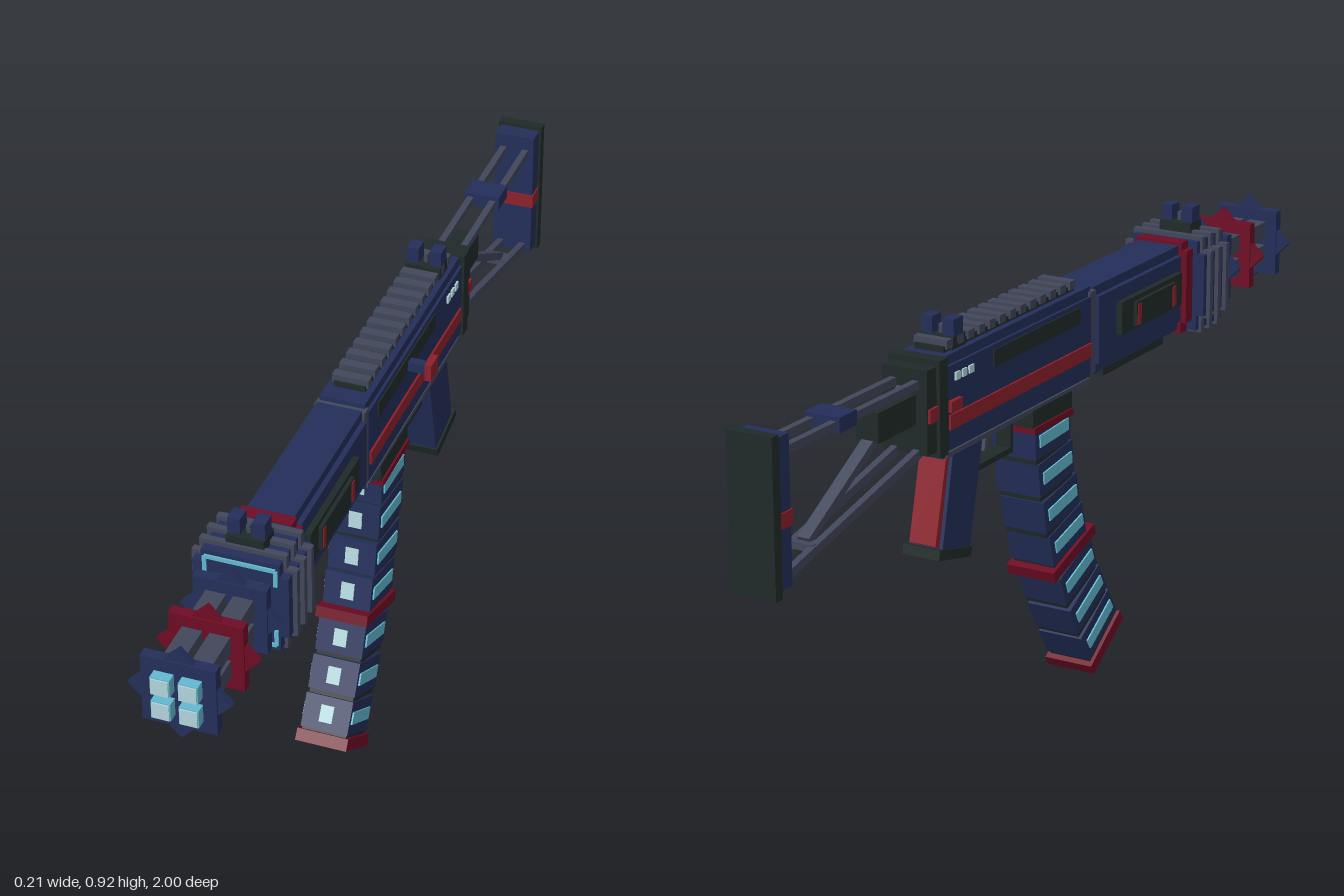
import * as THREE from 'three';

const mat = (name, color) => { const m = new THREE.MeshStandardMaterial({ color }); m.name = name; return m; };
const navy = mat('navy', 0x232e59), dark = mat('darkGreen', 0x1f2a28), grey = mat('steelGrey', 0x41465a);
const red = mat('red', 0x8c1f2a), crimson = mat('crimson', 0x6e0c24);
const cyan = mat('cyan', 0x62b8d0), pale = mat('paleGlow', 0xb0d4da);

export function createModel() {
  const root = new THREE.Group();
  root.name = 'blockyRifle';
  const group = (name, parent = root) => { const g = new THREE.Group(); g.name = name; parent.add(g); return g; };
  // box from centre x, y range and z range
  const box = (parent, name, m, w, y0, y1, z0, z1, x = 0) => {
    const b = new THREE.Mesh(new THREE.BoxGeometry(w, Math.abs(y1 - y0), Math.abs(z1 - z0)), m);
    b.position.set(x, (y0 + y1) / 2, (z0 + z1) / 2);
    b.name = name;
    parent.add(b);
    return b;
  };
  // same box on both sides
  const pair = (parent, name, m, x, w, y0, y1, z0, z1) => {
    for (const s of [1, -1]) box(parent, name, m, w, y0, y1, z0, z1, s * x);
  };
  // square bar between two points of the side plane
  const bar = (parent, name, m, x, w, t, [za, ya], [zb, yb]) => {
    const len = Math.hypot(zb - za, yb - ya);
    const b = box(parent, name, m, w, -t / 2, t / 2, -len / 2, len / 2, x);
    b.position.set(x, (ya + yb) / 2, (za + zb) / 2);
    b.rotation.x = -Math.atan2(yb - ya, zb - za);
    return b;
  };
  // plate lying in the side plane, corners given as [z, y]
  const sidePlate = (parent, name, m, w, pts) => {
    const s = new THREE.Shape(pts.map(([z, y]) => new THREE.Vector2(-z, y)));
    const g = new THREE.ExtrudeGeometry(s, { depth: w, bevelEnabled: false });
    g.translate(0, 0, -w / 2).rotateY(Math.PI / 2);
    const mesh = new THREE.Mesh(g, m);
    mesh.name = name;
    parent.add(mesh);
  };

  // four barrels with glowing tips and star-shaped discs
  const AX = 0.765;
  const barrel = group('barrelCluster');
  for (const sx of [1, -1]) for (const sy of [1, -1]) {
    const y = AX + sy * 0.027, x = sx * 0.027;
    box(barrel, 'barrel', grey, 0.04, y - 0.02, y + 0.02, 0.55, 0.97, x);
    box(barrel, 'barrelTip', cyan, 0.038, y - 0.019, y + 0.019, 0.96, 0.997, x);
    box(barrel, 'barrelGlow', pale, 0.034, y - 0.017, y + 0.017, 0.994, 1.0, x);
  }
  box(barrel, 'barrelCore', dark, 0.05, AX - 0.025, AX + 0.025, 0.55, 0.965);
  for (const [z, m] of [[0.965, navy], [0.835, crimson], [0.722, navy]]) {
    const disc = group('starDisc', barrel);
    disc.position.set(0, AX, z);
    box(disc, 'discSquare', m, 0.145, -0.0725, 0.0725, -0.011, 0.011);
    box(disc, 'discDiamond', m, 0.142, -0.071, 0.071, -0.007, 0.007).rotation.z = Math.PI / 4;
  }

  // ribbed front block with glowing corner lines
  const block = group('frontBlock');
  box(block, 'blockCore', navy, 0.155, 0.663, 0.86, 0.56, 0.68);
  box(block, 'blockSides', navy, 0.19, 0.697, 0.833, 0.56, 0.68);
  for (const z of [0.58, 0.617, 0.654]) {
    box(block, 'ribTall', grey, 0.168, 0.656, 0.869, z - 0.007, z + 0.007);
    box(block, 'ribWide', grey, 0.208, 0.69, 0.84, z - 0.007, z + 0.007);
  }
  for (const y of [0.675, 0.847]) {
    box(block, 'glowLine', cyan, 0.14, y - 0.004, y + 0.004, 0.68, 0.684);
    const inward = y < AX ? 0.035 : -0.035;
    pair(block, 'glowCorner', cyan, 0.07, 0.008, y, y + inward, 0.68, 0.684);
  }
  box(block, 'collarTall', crimson, 0.11, 0.66, 0.862, 0.532, 0.56);
  box(block, 'collarWide', crimson, 0.135, 0.685, 0.845, 0.532, 0.56);

  // front and rear sights
  const sight = (name, z) => {
    const g = group(name);
    box(g, 'sightBase', dark, 0.075, 0.86, 0.885, z - 0.025, z + 0.025);
    pair(g, 'sightPost', navy, 0.0245, 0.025, 0.875, 0.919, z - 0.017, z + 0.017);
    box(g, 'sightPin', grey, 0.008, 0.88, 0.903, z - 0.006, z + 0.006);
  };
  sight('frontSight', 0.63);
  sight('rearSight', -0.352);

  // handguard with side grips
  const guard = group('handguard');
  box(guard, 'guardCore', navy, 0.094, 0.668, 0.855, 0.16, 0.533);
  box(guard, 'guardSides', navy, 0.116, 0.69, 0.835, 0.165, 0.525);
  box(guard, 'guardBottom', dark, 0.075, 0.647, 0.67, 0.22, 0.485);
  pair(guard, 'sideGrip', dark, 0.061, 0.02, 0.735, 0.805, 0.24, 0.505);
  pair(guard, 'sideGripRaised', dark, 0.069, 0.02, 0.742, 0.795, 0.29, 0.465);
  for (const z of [0.3, 0.455]) pair(guard, 'gripMark', red, 0.071, 0.02, 0.745, 0.79, z - 0.007, z + 0.007);
  box(guard, 'joint', grey, 0.104, 0.675, 0.85, 0.138, 0.162);

  // receiver with stripe, lights and rail
  const receiver = group('receiver');
  box(receiver, 'receiverBody', navy, 0.094, 0.657, 0.86, -0.43, 0.145);
  box(receiver, 'receiverSides', navy, 0.106, 0.675, 0.84, -0.425, 0.14);
  pair(receiver, 'stripe', red, 0.0535, 0.008, 0.713, 0.743, -0.415, 0.135);
  pair(receiver, 'lowerTrim', grey, 0.0485, 0.006, 0.657, 0.667, -0.42, 0.14);
  pair(receiver, 'slot', dark, 0.053, 0.006, 0.795, 0.83, -0.25, 0.09);
  for (const z of [-0.335, -0.36, -0.385]) pair(receiver, 'statusLight', pale, 0.0535, 0.007, 0.807, 0.823, z - 0.008, z + 0.008);
  box(receiver, 'railBase', dark, 0.066, 0.858, 0.872, -0.4, 0.105);
  for (let i = 0; i < 13; i++) {
    const z = 0.09 - i * 0.0395;
    box(receiver, 'railTooth', grey, 0.076, 0.866, 0.884, z - 0.011, z + 0.011);
  }
  box(receiver, 'chargingStem', navy, 0.06, 0.798, 0.818, -0.1, -0.08, 0.075);
  box(receiver, 'chargingKnob', red, 0.014, 0.79, 0.827, -0.113, -0.07, 0.102);
  box(receiver, 'selector', red, 0.014, 0.75, 0.772, -0.42, -0.38, -0.056);

  // rear cap
  const cap = group('rearCap');
  box(cap, 'capFront', dark, 0.116, 0.668, 0.862, -0.455, -0.425);
  box(cap, 'capRear', dark, 0.1, 0.68, 0.85, -0.488, -0.45);
  pair(cap, 'capMark', red, 0.052, 0.008, 0.745, 0.773, -0.486, -0.456);
  box(cap, 'bufferTube', dark, 0.05, 0.74, 0.8, -0.62, -0.48);

  // skeleton stock
  const stock = group('stock');
  for (const s of [1, -1]) {
    bar(stock, 'upperRod', grey, s * 0.025, 0.014, 0.016, [-0.43, 0.82], [-0.945, 0.82]);
    bar(stock, 'lowerRod', grey, s * 0.025, 0.014, 0.018, [-0.475, 0.684], [-0.945, 0.578]);
  }
  bar(stock, 'brace', grey, 0, 0.026, 0.016, [-0.49, 0.808], [-0.835, 0.612]);
  box(stock, 'rodClamp', navy, 0.078, 0.806, 0.836, -0.77, -0.712);
  box(stock, 'lowerTie', grey, 0.055, 0.598, 0.612, -0.85, -0.82);
  box(stock, 'buttPlate', navy, 0.088, 0.567, 0.858, -0.98, -0.94);
  box(stock, 'buttBand', red, 0.094, 0.685, 0.715, -0.982, -0.936);
  box(stock, 'buttPad', dark, 0.098, 0.555, 0.866, -1.0, -0.978);

  // pistol grip
  const grip = group('pistolGrip');
  sidePlate(grip, 'gripBody', navy, 0.076, [[-0.265, 0.66], [-0.375, 0.66], [-0.42, 0.458], [-0.318, 0.435]]);
  sidePlate(grip, 'gripBack', red, 0.06, [[-0.368, 0.66], [-0.386, 0.66], [-0.432, 0.475], [-0.412, 0.465]]);
  sidePlate(grip, 'gripCap', dark, 0.084, [[-0.314, 0.442], [-0.434, 0.47], [-0.438, 0.45], [-0.32, 0.422]]);

  // trigger and its guard
  const trigger = group('trigger');
  box(trigger, 'guardFloor', dark, 0.034, 0.574, 0.586, -0.3, -0.114);
  box(trigger, 'guardFront', dark, 0.034, 0.575, 0.66, -0.124, -0.114);
  bar(trigger, 'triggerBlade', grey, 0, 0.018, 0.014, [-0.192, 0.66], [-0.205, 0.602]);

  // curved magazine: [z, y, tilt in degrees] for each segment
  const mag = group('magazine');
  box(mag, 'magWell', dark, 0.104, 0.622, 0.66, -0.093, 0.065);
  box(mag, 'magCollar', crimson, 0.113, 0.61, 0.624, -0.093, 0.063);
  const tilted = (name, [z, y, deg]) => {
    const g = group(name, mag);
    g.position.set(0, y, z);
    g.rotation.x = -THREE.MathUtils.degToRad(deg);
    return g;
  };
  const segments = [[-0.012, 0.59, 3], [0.003, 0.51, 7], [0.025, 0.428, 11], [0.052, 0.352, 15],
    [0.098, 0.254, 22], [0.14, 0.177, 28], [0.186, 0.104, 32]];
  segments.forEach((p, i) => {
    const g = tilted('magSegment', p);
    box(g, 'segmentBody', navy, 0.102, -0.036, 0.036, -0.07, 0.07);
    box(g, 'segmentJoint', dark, 0.096, -0.048, -0.034, -0.066, 0.066);
    pair(g, 'sideGlow', cyan, 0.0515, 0.006, -0.012, 0.014, -0.055, 0.06);
    box(g, 'frontGlow', pale, 0.028, -0.018, i ? 0.018 : 0.014, 0.068, 0.073);
  });
  box(tilted('magBand', [0.072, 0.304, 18]), 'bandBody', crimson, 0.112, -0.012, 0.012, -0.09, 0.09);
  box(tilted('magBase', [0.214, 0.055, 34]), 'baseBody', crimson, 0.112, -0.013, 0.013, -0.076, 0.076);

  return root;
}
